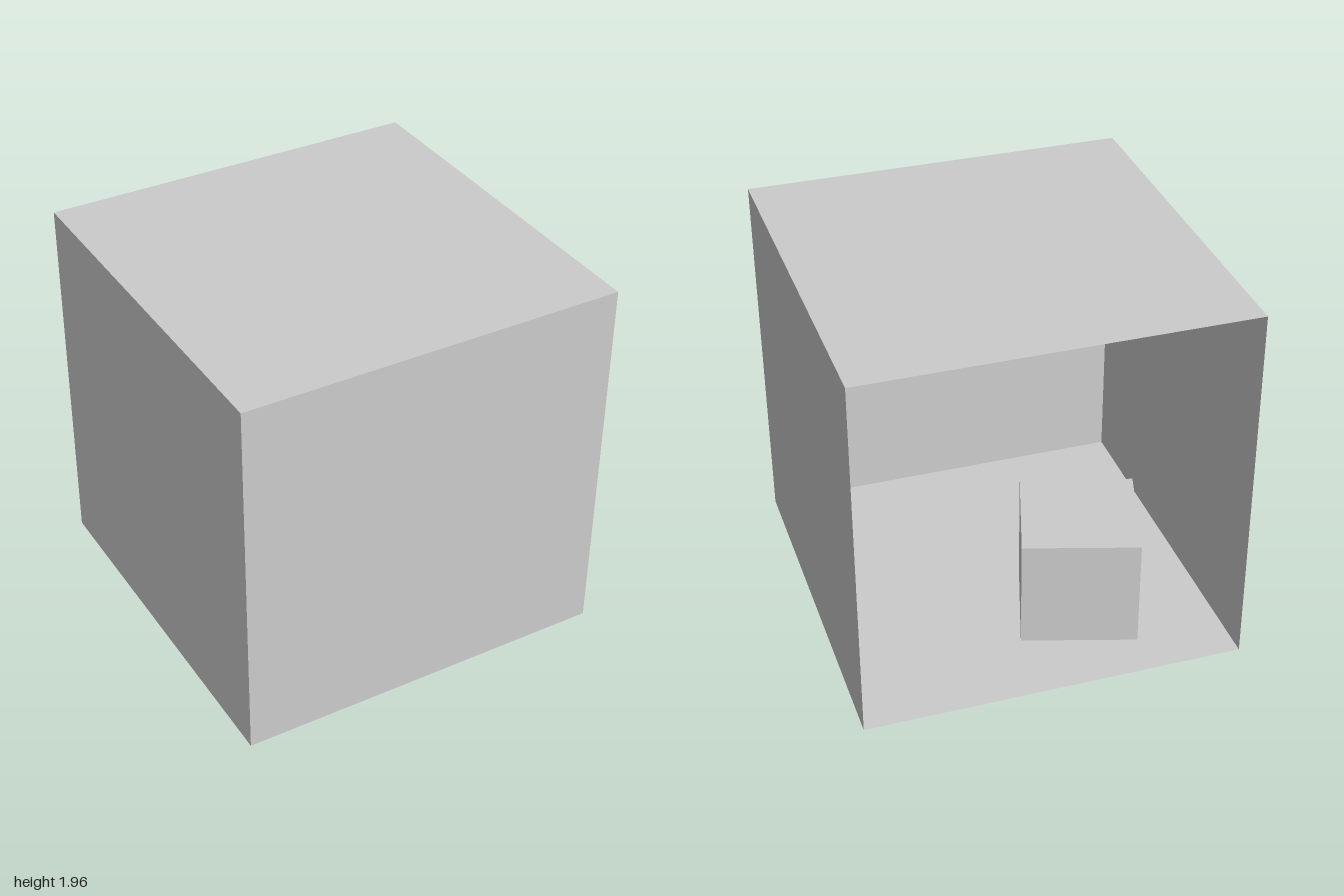
import * as THREE from 'three';

const material = new THREE.MeshStandardMaterial({ color: 0xcccccc, side: THREE.DoubleSide, flatShading: true });

// Four-cornered panel, corners counter-clockwise seen from its front
function panel(name, a, b, c, d) {
  const geometry = new THREE.BufferGeometry().setFromPoints([a, b, c, a, c, d]);
  geometry.computeVertexNormals();
  const mesh = new THREE.Mesh(geometry, material);
  mesh.name = name;
  return mesh;
}

// Lifts a footprint of [x, z] corners to a height
const ring = (corners, y) => corners.map(([x, z]) => new THREE.Vector3(x, y, z));

// Room: open at the back, its +x wall leaning slightly outward
function createRoom() {
  const room = new THREE.Group();
  room.name = 'room';
  const f = ring([[-0.994, -1], [-0.994, 1], [0.971, 1], [0.983, -1]], 0);
  const c = ring([[-0.994, -1], [-0.994, 1], [0.994, 1], [0.994, -1]], 1.963);
  room.add(panel('floor', ...f), panel('ceiling', ...[...c].reverse()));
  ['rightWall', 'frontWall', 'leftWall'].forEach((name, i) =>
    room.add(panel(name, f[i + 1], f[i], c[i], c[i + 1])));
  return room;
}

// Block: turned on the floor, closed on top and sides
function createBlock() {
  const block = new THREE.Group();
  block.name = 'block';
  const footprint = [[-0.529, -0.768], [-0.701, -0.195], [-0.136, -0.027], [0.043, -0.592]];
  const low = ring(footprint, 0);
  const high = ring(footprint, 0.59);
  block.add(panel('blockTop', ...high));
  for (let i = 0; i < 4; i++) {
    const j = (i + 1) % 4;
    block.add(panel('blockSide', low[i], low[j], high[j], high[i]));
  }
  return block;
}

export function createModel() {
  const model = new THREE.Group();
  model.name = 'openRoomWithBlock';
  model.add(createRoom(), createBlock());
  return model;
}
